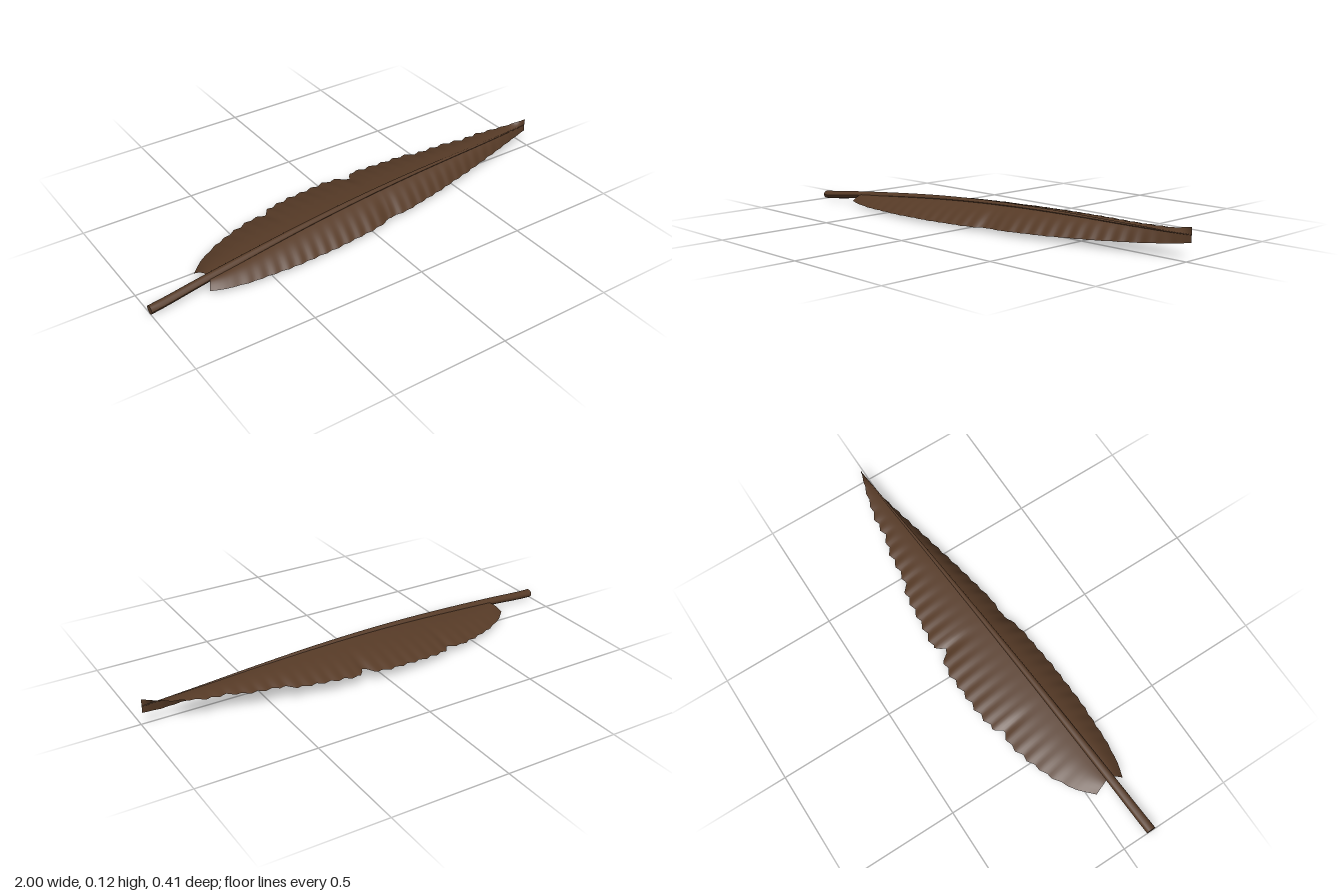
import * as THREE from 'three';

// piecewise-linear lookup in a short list of [x, value...] stations
function sample(table, x, k) {
  let i = 0;
  while (i < table.length - 2 && x > table[i + 1][0]) i++;
  const a = table[i], b = table[i + 1];
  const t = THREE.MathUtils.clamp((x - a[0]) / (b[0] - a[0]), 0, 1);
  return a[k] + (b[k] - a[k]) * t;
}

// evenly spaced heights of the shaft's centre line from x = -1 to x = 1
const shaftLine = new THREE.SplineCurve(
  [0.018, 0.043, 0.066, 0.085, 0.097, 0.102, 0.101, 0.097, 0.095]
    .map((y, i) => new THREE.Vector2(-1 + i * 0.25, y)));
const shaftY = (x) => shaftLine.getPoint((x + 1) / 2).y;
const shaftZ = (x) => 0.051 - 0.08 * x;

// outer edges of the vanes: x, z, y
const frontEdge = [
  [-0.76, 0.16, 0.019], [-0.7, 0.18, 0.016], [-0.6, 0.196, 0.013], [-0.4, 0.206, 0.011],
  [-0.2, 0.198, 0.011], [0, 0.178, 0.013], [0.07, 0.162, 0.014], [0.1, 0.146, 0.015],
  [0.2, 0.144, 0.016], [0.4, 0.106, 0.02], [0.6, 0.062, 0.028], [0.8, 0.014, 0.041],
  [0.92, -0.014, 0.053], [1, -0.028, 0.066]];
const backEdge = [
  [-0.76, 0.03, 0.022], [-0.7, -0.03, 0.023], [-0.6, -0.09, 0.025], [-0.5, -0.13, 0.028],
  [-0.4, -0.16, 0.032], [-0.33, -0.153, 0.036], [-0.3, -0.183, 0.037], [-0.2, -0.198, 0.041],
  [0, -0.207, 0.047], [0.06, -0.195, 0.05], [0.1, -0.157, 0.056], [0.13, -0.202, 0.052],
  [0.3, -0.183, 0.06], [0.4, -0.172, 0.065], [0.45, -0.147, 0.071], [0.6, -0.132, 0.079],
  [0.68, -0.107, 0.086], [0.76, -0.105, 0.09], [0.9, -0.065, 0.104], [1, -0.028, 0.125]];

// one vane: rows of barbs running from the shaft to a ragged edge
function vaneGeometry(edge, teeth, bulge, isFront) {
  const cols = 176, rows = 8, pos = [], idx = [];
  for (let i = 0; i <= cols; i++) {
    const x = -0.76 + 1.76 * i / cols;
    const rootX = x + 0.03 * THREE.MathUtils.clamp((0.2 - x) / 0.96, 0, 1);
    const rz = shaftZ(rootX), ry = shaftY(rootX) + 0.002;
    const fade = Math.min(1, (x + 0.76) * 3, (1 - x) * 4);
    const saw = Math.abs(((i / 6) % 1) * 2 - 1) * teeth * fade;
    const ez = sample(edge, x, 1) - (isFront ? saw : -saw);
    const ey = sample(edge, x, 2);
    for (let j = 0; j <= rows; j++) {
      const t = j / rows;
      pos.push(
        rootX + (x - rootX) * t,
        ry + (ey - ry) * t + Math.sin(Math.PI * t) * bulge * Math.min(1, (1 - x) * 2),
        rz + (ez - rz) * t);
      if (i < cols && j < rows) {
        const a = i * (rows + 1) + j, b = a + 1, c = a + rows + 1, d = c + 1;
        if (isFront) idx.push(a, b, c, b, d, c);
        else idx.push(a, c, b, b, c, d);
      }
    }
  }
  const g = new THREE.BufferGeometry();
  g.setAttribute('position', new THREE.Float32BufferAttribute(pos, 3));
  g.setIndex(idx);
  g.computeVertexNormals();
  return g;
}

// tapering quill: a cylinder laid along x and bent onto the centre line
function shaftGeometry() {
  const g = new THREE.CylinderGeometry(1, 1, 2, 12, 40);
  const p = g.attributes.position;
  for (let i = 0; i < p.count; i++) {
    const x = p.getY(i), r = 0.0015 + 0.0165 * Math.pow((1 - x) / 2, 0.85);
    p.setXYZ(i, x, shaftY(x) - p.getX(i) * r, shaftZ(x) + p.getZ(i) * r * 1.15);
  }
  g.computeVertexNormals();
  return g;
}

export function createModel() {
  const brown = new THREE.MeshStandardMaterial({ color: 0x573b27, side: THREE.DoubleSide });
  brown.name = 'feather brown';
  const group = new THREE.Group();
  group.name = 'feather';
  const add = (name, geometry) => {
    const mesh = new THREE.Mesh(geometry, brown);
    mesh.name = name;
    group.add(mesh);
  };
  add('shaft', shaftGeometry());
  add('frontVane', vaneGeometry(frontEdge, 0.006, 0.011, true));
  add('backVane', vaneGeometry(backEdge, 0.014, 0.01, false));
  return group;
}
